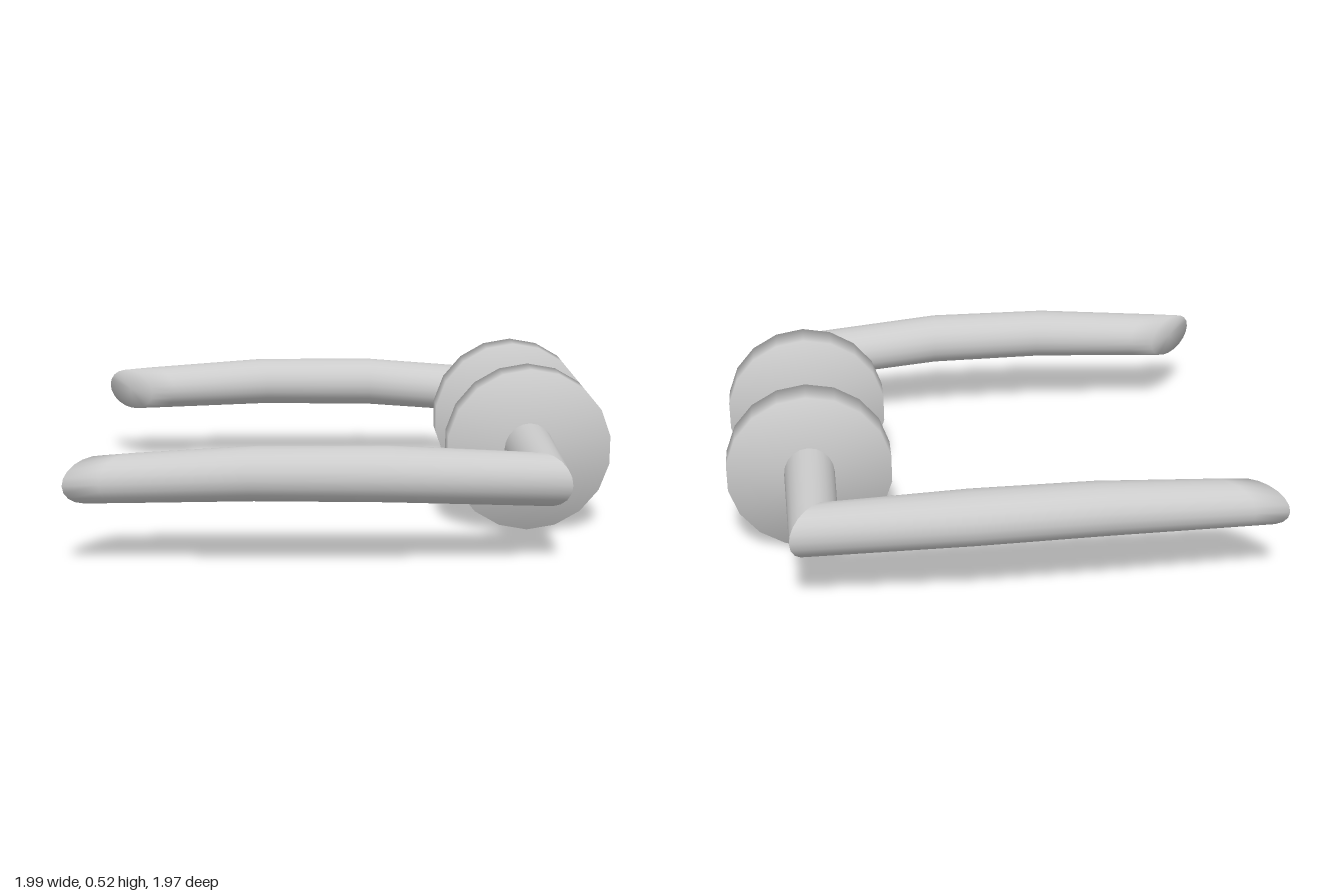
import * as THREE from 'three';
import { mergeVertices } from 'three/addons/utils/BufferGeometryUtils.js';

const SIDES = 20;
const material = new THREE.MeshStandardMaterial({ color: 0xcccccc });

// Skin of elliptical rings; each station is [innerX, innerZ, outerX, outerZ, centreY, halfHeight]
function loft(stations, side, capEnd) {
  const pos = [], index = [];
  const tri = (a, b, c) => (side > 0 ? index.push(a, b, c) : index.push(a, c, b));
  for (const [ix, iz, ox, oz, y, h] of stations) {
    for (let j = 0; j < SIDES; j++) {
      const t = (j / SIDES) * Math.PI * 2, k = 0.5 + 0.5 * Math.cos(t);
      pos.push(ix + (ox - ix) * k, y + h * Math.sin(t), side * (iz + (oz - iz) * k));
    }
  }
  const last = (stations.length - 1) * SIDES;
  for (let i = 0; i < last; i += SIDES) {
    for (let j = 0; j < SIDES; j++) {
      const a = i + j, b = i + ((j + 1) % SIDES);
      tri(a, b, a + SIDES);
      tri(b, b + SIDES, a + SIDES);
    }
  }
  if (capEnd) {
    const [ix, iz, ox, oz, y] = stations[stations.length - 1];
    const centre = pos.length / 3;
    pos.push((ix + ox) / 2, y, side * (iz + oz) / 2);
    for (let j = 0; j < SIDES; j++) tri(last + j, last + ((j + 1) % SIDES), centre);
  }
  const geo = new THREE.BufferGeometry();
  geo.setAttribute('position', new THREE.Float32BufferAttribute(pos, 3));
  geo.setIndex(index);
  geo.computeVertexNormals();
  return geo;
}

// Round backplate with softly blended rim shading
function roseGeometry() {
  let geo = new THREE.CylinderGeometry(0.26, 0.26, 0.1, 18);
  geo.deleteAttribute('normal');
  geo.deleteAttribute('uv');
  geo = mergeVertices(geo);
  geo.rotateX(Math.PI / 2);
  geo.computeVertexNormals();
  return geo;
}

function part(name, geometry) {
  const mesh = new THREE.Mesh(geometry, material);
  mesh.name = name;
  return mesh;
}

function createHandle(name, side) {
  const handle = new THREE.Group();
  handle.name = name;

  const rose = part('rose', roseGeometry());
  rose.position.set(0, 0.26, side * 0.221);

  // Neck runs out of the rose and ends in the mitred corner
  const bend = [-0.079, 0.553, 0.068, 0.711, 0.263, 0.08];
  const neck = part('neck', loft([[-0.078, 0.25, 0.08, 0.25, 0.26, 0.088], bend], side, false));

  // Gently bowed grip with a slanted tip
  const lever = part('lever', loft([
    bend,
    [-0.463, 0.575, -0.474, 0.759, 0.291, 0.083],
    [-0.83, 0.575, -0.879, 0.753, 0.293, 0.081],
    [-1.17, 0.564, -1.31, 0.724, 0.275, 0.073],
    [-1.251, 0.561, -1.416, 0.717, 0.27, 0.07],
  ], side, true));

  handle.add(rose, neck, lever);
  return handle;
}

export function createModel() {
  const model = new THREE.Group();
  model.name = 'doorHandlePair';
  // Both handles mirror each other across the door plane, which is turned in plan
  const pair = new THREE.Group();
  pair.name = 'handles';
  pair.add(createHandle('frontHandle', 1), createHandle('backHandle', -1));
  pair.position.set(0.586, 0, 0.3275);
  pair.rotation.y = -0.515;
  model.add(pair);
  return model;
}
